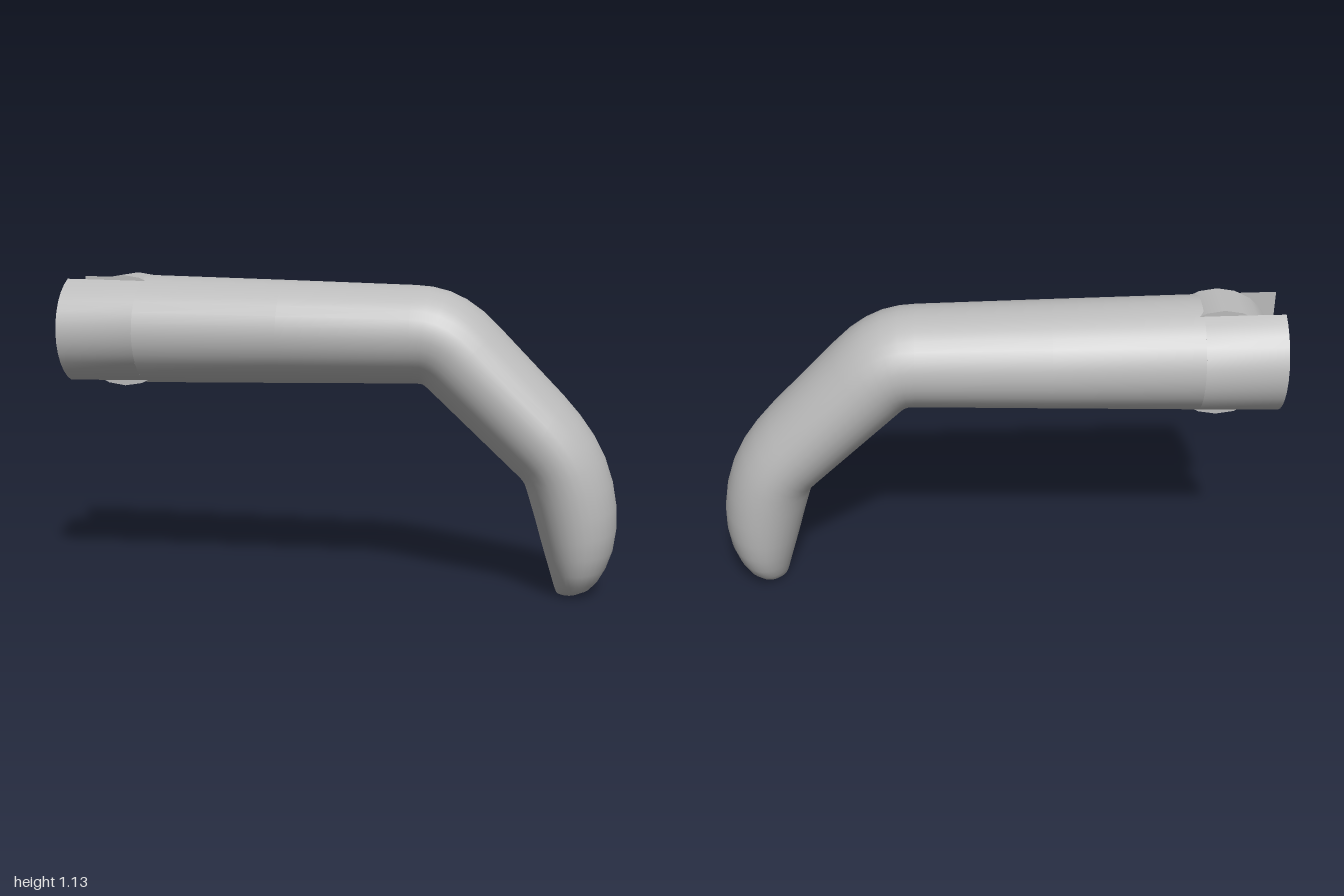
import * as THREE from 'three';
import { toCreasedNormals } from 'three/addons/utils/BufferGeometryUtils.js';

// Lofts elliptical rings [outerX, outerY, innerX, innerY, halfWidth], using the arc t0..t1 of each ellipse
function loft(rings, t0, t1, steps) {
  const full = t1 - t0 > 6.28;
  const n = full ? steps : steps + 1;
  const pos = [], idx = [];
  const addRing = ([ox, oy, ix, iy, w]) => {
    for (let j = 0; j < n; j++) {
      const t = t0 + (t1 - t0) * j / steps, k = Math.cos(t) / 2;
      pos.push((ox + ix) / 2 + (ox - ix) * k, (oy + iy) / 2 + (oy - iy) * k, w * Math.sin(t));
    }
  };
  rings.forEach(addRing);
  for (let i = 0; i < rings.length - 1; i++) {
    for (let j = 0; j < n; j++) {
      const a = i * n + j, b = i * n + (j + 1) % n;
      idx.push(a, b, a + n, b, b + n, a + n);
    }
  }
  // flat end caps
  const last = (rings.length - 1) * n;
  for (let j = 1; j < n - 1; j++) {
    idx.push(0, j + 1, j);
    idx.push(last, last + j, last + j + 1);
  }
  const g = new THREE.BufferGeometry();
  g.setAttribute('position', new THREE.Float32BufferAttribute(pos, 3));
  g.setIndex(idx);
  return toCreasedNormals(g, 0.7);
}

export function createModel() {
  const group = new THREE.Group();
  const grey = new THREE.MeshStandardMaterial({ color: 0xbbbbbb });
  grey.name = 'plain grey';
  const add = (geometry, name) => {
    const mesh = new THREE.Mesh(geometry, grey);
    mesh.name = name;
    group.add(mesh);
    return mesh;
  };

  // Bent shaft: straight arm, first bend, slanted arm, second bend, rounded tip
  const shaft = [
    [-0.72, 1.125, -0.72, 0.729, 0.222],
    [-0.20, 1.112, -0.20, 0.738, 0.212],
    [0.27, 1.099, 0.27, 0.747, 0.203],
    [0.33, 1.094, 0.295, 0.746, 0.202],
    [0.39, 1.079, 0.302, 0.743, 0.202],
    [0.45, 1.051, 0.308, 0.739, 0.201],
    [0.51, 1.009, 0.315, 0.733, 0.201],
    [0.57, 0.952, 0.325, 0.724, 0.2],
    [0.80, 0.714, 0.645, 0.424, 0.196],
    [0.86, 0.645, 0.66, 0.409, 0.195],
    [0.91, 0.575, 0.668, 0.396, 0.194],
    [0.95, 0.50, 0.674, 0.38, 0.192],
    [0.98, 0.41, 0.688, 0.335, 0.189],
    [0.996, 0.32, 0.708, 0.27, 0.184],
    [0.998, 0.24, 0.728, 0.20, 0.177],
    [0.988, 0.165, 0.746, 0.14, 0.166],
    [0.966, 0.10, 0.763, 0.085, 0.148],
    [0.94, 0.052, 0.775, 0.045, 0.125],
    [0.912, 0.02, 0.783, 0.018, 0.097],
    [0.875, 0, 0.79, 0, 0.06],
  ];
  add(loft(shaft, 0, Math.PI * 2, 32), 'bentShaft');

  // Two fork cheeks either side of the slot
  const cheek = [[-1, 1.13, -1, 0.725, 0.227], shaft[0]];
  const cut = Math.asin(0.09 / 0.225);
  add(loft(cheek, cut, Math.PI - cut, 12), 'leftForkCheek');
  add(loft(cheek, Math.PI + cut, Math.PI * 2 - cut, 12), 'rightForkCheek');

  // Round knuckle filling the slot
  const knuckle = new THREE.CylinderGeometry(0.202, 0.202, 0.18, 20).rotateX(Math.PI / 2);
  add(knuckle, 'hingeKnuckle').position.set(-0.79, 0.927, 0);

  return group;
}
